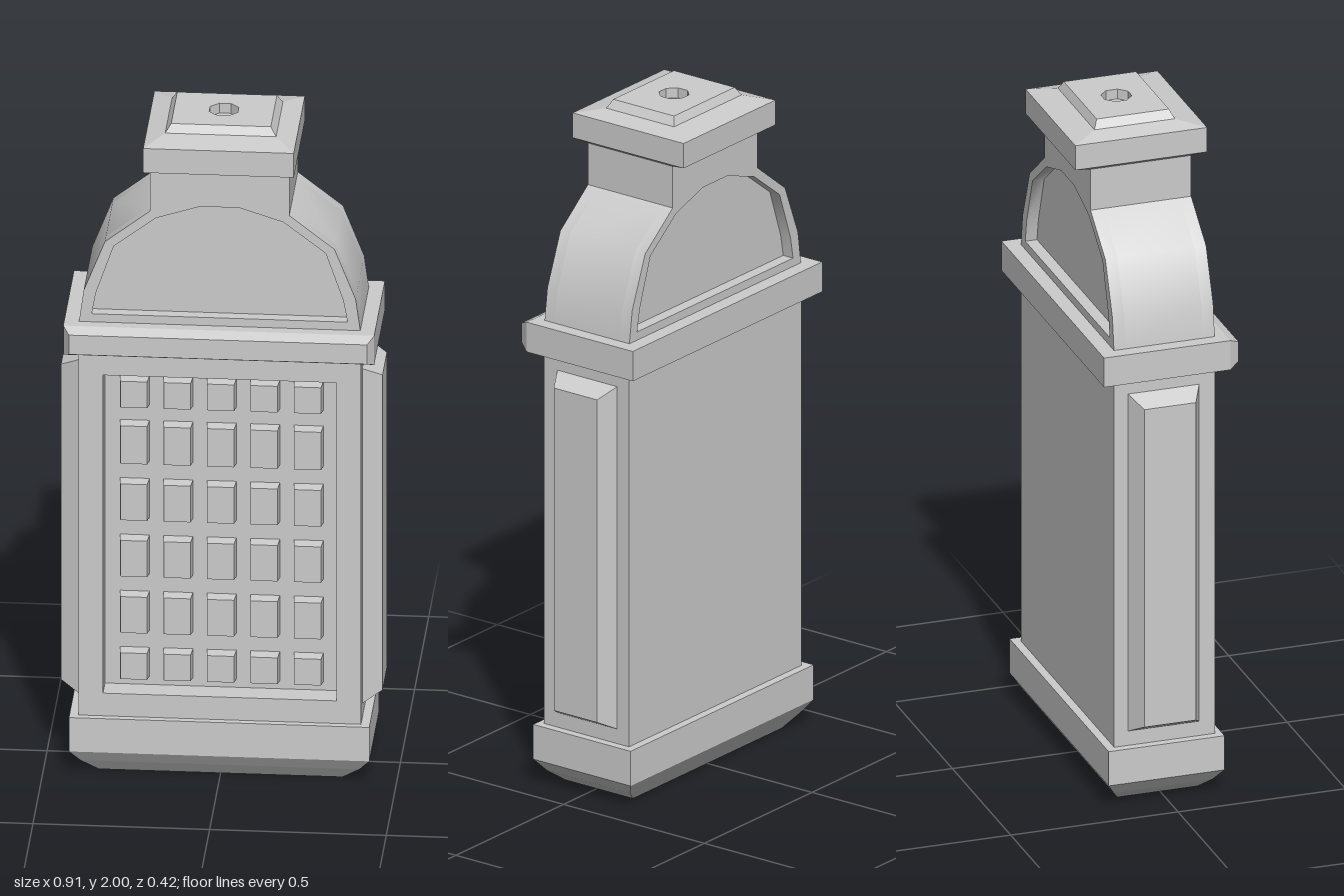
import * as THREE from 'three';
import { mergeVertices, toCreasedNormals } from 'three/addons/utils/BufferGeometryUtils.js';

const material = new THREE.MeshStandardMaterial({ color: 0xcccccc, flatShading: true });
const smooth = new THREE.MeshStandardMaterial({ color: 0xcccccc });
const BACK = -0.156, FRONT = 0.145, MID = -0.008;

// Rectangular rings [y, half width, half depth] joined bottom to top
function stack(rings, capTop = true) {
  const pos = [], index = [];
  for (const [y, hx, hz] of rings) pos.push(-hx, y, hz, hx, y, hz, hx, y, -hz, -hx, y, -hz);
  for (let r = 0; r < rings.length - 1; r++) {
    for (let i = 0; i < 4; i++) {
      const a = r * 4 + i, b = r * 4 + (i + 1) % 4;
      index.push(a, b, b + 4, a, b + 4, a + 4);
    }
  }
  const t = (rings.length - 1) * 4;
  index.push(0, 2, 1, 0, 3, 2);
  if (capTop) index.push(t, t + 1, t + 2, t, t + 2, t + 3);
  const g = new THREE.BufferGeometry();
  g.setAttribute('position', new THREE.Float32BufferAttribute(pos, 3));
  g.setIndex(index);
  const flat = g.toNonIndexed();
  flat.computeVertexNormals();
  return flat;
}

function rectPoints(x, y0, y1) {
  return [[-x, y0], [x, y0], [x, y1], [-x, y1]];
}

const toVectors = pts => pts.map(p => new THREE.Vector2(...p));

// Outline with an optional hole, extruded from z0 to z1
function slab(points, z0, z1, hole) {
  const shape = new THREE.Shape(toVectors(points));
  if (hole) shape.holes.push(new THREE.Path(toVectors(hole)));
  return new THREE.ExtrudeGeometry(shape, { depth: z1 - z0, bevelEnabled: false }).translate(0, 0, z0);
}

// Right half of an outline, bottom to top, mirrored into a full loop
const mirrored = half => [...half, ...half.map(([x, y]) => [-x, y]).reverse()];

export function createModel() {
  const model = new THREE.Group();
  const add = (name, geometry, parent = model, mat = material) => {
    const mesh = new THREE.Mesh(geometry, mat);
    mesh.name = name;
    parent.add(mesh);
    return mesh;
  };

  // Base with chamfered foot
  add('base', stack([[0, 0.345, 0.12], [0.038, 0.395, 0.148], [0.075, 0.425, 0.173], [0.18, 0.425, 0.173]])
    .translate(0, 0, MID));

  // Body with a deep front recess
  const body = new THREE.Group();
  body.name = 'body';
  model.add(body);
  const floor = FRONT - 0.07;
  const outline = rectPoints(0.4, 0.17, 1.33);
  add('bodyCore', slab(outline, BACK, floor), body);
  add('frontFrame', slab(outline, floor, FRONT, rectPoints(0.33, 0.25, 1.235)), body);

  // Grid of raised studs inside the recess
  const studs = new THREE.Group();
  studs.name = 'studs';
  model.add(studs);
  const rows = [[0.275, 0.366], [0.418, 0.54], [0.593, 0.714], [0.767, 0.889], [0.942, 1.069], [1.116, 1.207]];
  for (const [y0, y1] of rows) {
    const h = (y1 - y0) / 2;
    for (let c = -2; c <= 2; c++) {
      add('stud', stack([[-0.01, 0.043, h], [0.035, 0.038, h - 0.005]])
        .rotateX(Math.PI / 2).translate(c * 0.123, (y0 + y1) / 2, floor), studs);
    }
  }

  // Bevelled panels on both sides
  for (const s of [-1, 1]) {
    add(s > 0 ? 'leftSidePanel' : 'rightSidePanel',
      stack([[0.39, 0.518, 0.106], [0.4, 0.518, 0.106], [0.455, 0.488, 0.077]])
        .rotateZ(-s * Math.PI / 2).translate(0, 0.742, MID));
  }

  // Collar, bevelled towards the front
  add('collar', stack([[-0.2, 0.44, 0.045], [0.177, 0.44, 0.045], [0.208, 0.422, 0.03]])
    .rotateX(Math.PI / 2).translate(0, 1.354, 0));

  // Shoulder and neck with an inset arch on front and back
  const shoulder = new THREE.Group();
  shoulder.name = 'shoulder';
  model.add(shoulder);
  const profile = mirrored([[0.4, 1.38], [0.398, 1.4], [0.385, 1.495], [0.325, 1.648], [0.197, 1.748], [0.197, 1.89]]);
  const arch = mirrored([[0.362, 1.424], [0.35, 1.49], [0.3, 1.635], [0.18, 1.727], [0.055, 1.767]]);
  const inset = 0.035;
  const crease = g => {
    g.deleteAttribute('uv');
    return toCreasedNormals(mergeVertices(g), 0.6);
  };
  add('shoulderCore', crease(slab(profile, BACK + inset, FRONT - inset)), shoulder, smooth);
  add('frontArchRim', crease(slab(profile, FRONT - inset, FRONT, arch)), shoulder, smooth);
  add('backArchRim', crease(slab(profile, BACK, BACK + inset, arch)), shoulder, smooth);

  // Cap with a sloped top and a small raised block
  const cap = new THREE.Group();
  cap.name = 'cap';
  cap.position.z = -0.01;
  model.add(cap);
  add('capBlock', stack([[1.873, 0.196, 0.14], [1.885, 0.213, 0.197], [1.96, 0.213, 0.197],
    [1.975, 0.157, 0.12], [2, 0.141, 0.108]], false), cap);

  // Top face with an eight-sided hole
  const top = new THREE.Shape(toVectors(rectPoints(0.141, -0.108, 0.108)));
  const ring = [];
  for (let i = 0; i < 8; i++) {
    const a = (i + 0.5) * Math.PI / 4;
    ring.push([0.044 * Math.cos(a), 0.044 * Math.sin(a)]);
  }
  top.holes.push(new THREE.Path(toVectors(ring)));
  add('capTop', new THREE.ShapeGeometry(top).rotateX(-Math.PI / 2).translate(0, 2, 0), cap);

  // Hole walls and floor
  const inside = material.clone();
  inside.side = THREE.BackSide;
  add('holeWall', new THREE.CylinderGeometry(0.044, 0.044, 0.03, 8, 1, true)
    .rotateY(Math.PI / 8).translate(0, 1.985, 0), cap, inside);
  add('holeFloor', new THREE.CircleGeometry(0.044, 8).rotateX(-Math.PI / 2).rotateY(Math.PI / 8)
    .translate(0, 1.97, 0), cap);

  return model;
}
